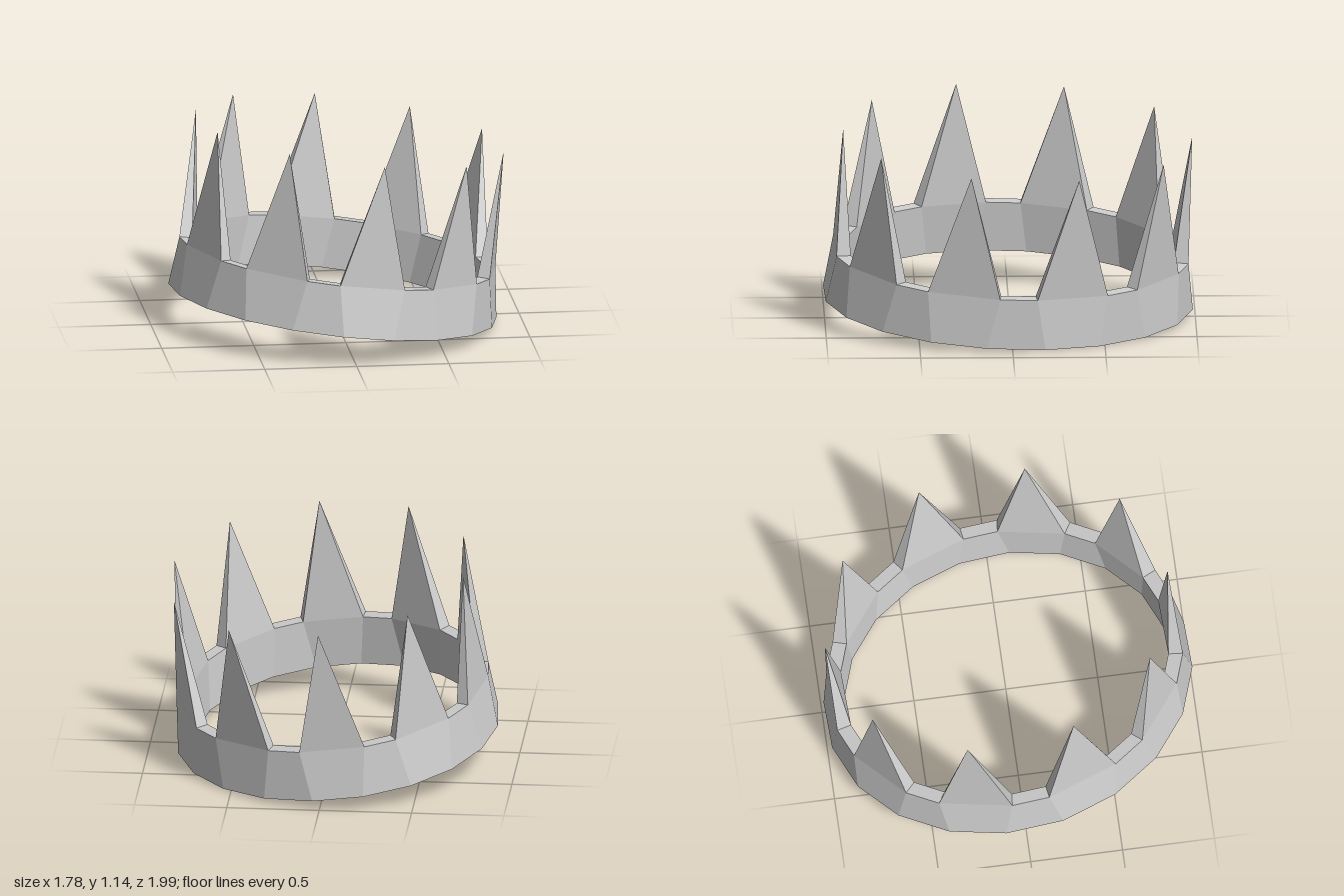
import * as THREE from 'three';

const SPIKES = 10;
const BAND_TOP = 0.271, TIP = 0.934;                    // heights along the tilted axis
const OUT_LOW = 1.004, OUT_TOP = 0.972, INNER = 0.893, TIP_R = 0.943;
const CENTER = new THREE.Vector3(-0.015, 0.107, 0.01);
const AXIS = new THREE.Vector3(0.108, 1, -0.054);

// Point on the tilted oval: angle in degrees (0 = front, 90 = left), ring scale, height
function point(deg, scale, height) {
  const a = THREE.MathUtils.degToRad(deg);
  const x = scale * (0.083 * Math.cos(a) + 0.87 * Math.sin(a));
  const z = scale * (Math.cos(a) - 0.03 * Math.sin(a));
  return new THREE.Vector3(x, -AXIS.x * x - AXIS.z * z, z)
    .add(CENTER).addScaledVector(AXIS, height);
}

// Flat-shaded mesh from triangles and quads, corners counter-clockwise
function facetMesh(name, faces, material) {
  const points = [];
  for (const f of faces)
    for (let i = 1; i < f.length - 1; i++) points.push(f[0], f[i], f[i + 1]);
  const geometry = new THREE.BufferGeometry().setFromPoints(points);
  geometry.computeVertexNormals();
  const mesh = new THREE.Mesh(geometry, material);
  mesh.name = name;
  return mesh;
}

export function createModel() {
  const crown = new THREE.Group();
  crown.name = 'crown';
  const material = new THREE.MeshStandardMaterial({ color: 0xcccccc, flatShading: true });

  // Band cross-sections: even at the bottom, wider under each spike at the top
  const sections = [];
  for (let k = 0; k < SPIKES; k++)
    for (const side of [-1, 1]) {
      const low = 36 * k + 9 * side, top = 36 * k + 12 * side;
      sections.push({
        outLow: point(low, OUT_LOW, 0), outTop: point(top, OUT_TOP, BAND_TOP),
        inLow: point(low, INNER, 0), inTop: point(top, INNER, BAND_TOP),
      });
    }

  const band = [];
  sections.forEach((a, i) => {
    const b = sections[(i + 1) % sections.length];
    band.push([a.outLow, b.outLow, b.outTop, a.outTop]);
    band.push([b.inLow, a.inLow, a.inTop, b.inTop]);
    band.push([a.inLow, b.inLow, b.outLow, a.outLow]);
    if (i % 2) band.push([a.outTop, b.outTop, b.inTop, a.inTop]); // gap between spikes
  });
  crown.add(facetMesh('band', band, material));

  // Pointed spikes
  const spikes = new THREE.Group();
  spikes.name = 'spikes';
  for (let k = 0; k < SPIKES; k++) {
    const a = sections[2 * k], b = sections[2 * k + 1];
    const tip = point(36 * k, TIP_R, TIP);
    spikes.add(facetMesh('spike', [
      [a.outTop, b.outTop, tip],
      [b.outTop, b.inTop, tip],
      [b.inTop, a.inTop, tip],
      [a.inTop, a.outTop, tip],
    ], material));
  }
  crown.add(spikes);
  return crown;
}
